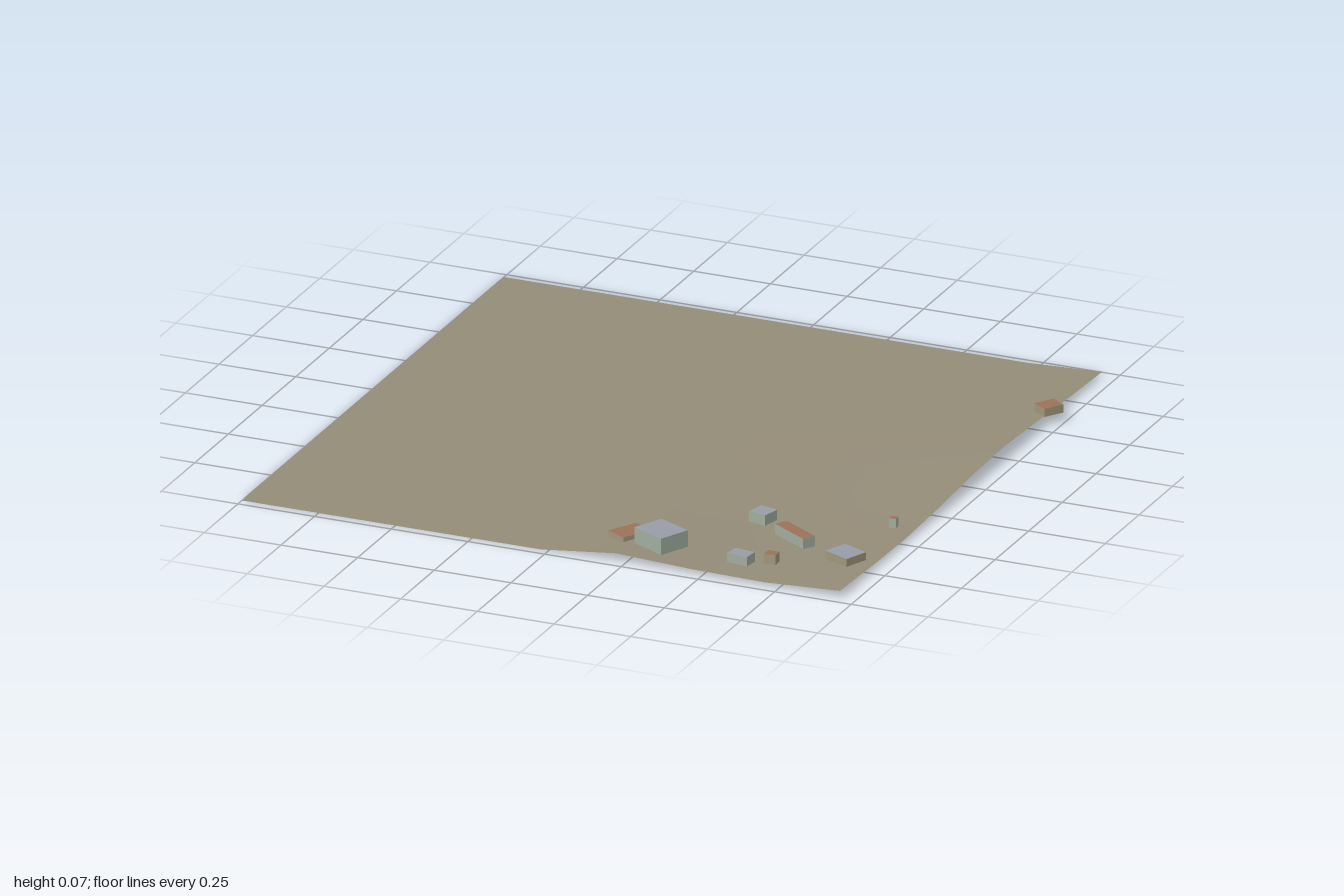
import * as THREE from 'three';

const flat = (name, color, side = THREE.FrontSide) => {
  const m = new THREE.MeshStandardMaterial({ color, side });
  m.name = name;
  return m;
};

export function createModel() {
  const group = new THREE.Group();
  const earth = flat('earth', 0x948c78, THREE.DoubleSide);
  const slate = flat('slateRoof', 0x989ca8);
  const clay = flat('clayRoof', 0x9c7058);
  const sage = flat('sageWall', 0xa0ad9c);
  const tan = flat('tanWall', 0xa0967a);

  // Ground sheet: 8 x 8 cells, flat on the left, gently rising on the right.
  // Each row holds the heights of the last three columns' corners, back to front.
  const heights = [
    [0, 0, 0, 0.01],
    [0, 0, 0.004, 0.018],
    [0, 0.002, 0.012, 0.029],
    [0, 0.004, 0.018, 0.038],
    [0, 0.004, 0.016, 0.033],
    [0, 0.003, 0.01, 0.02],
    [0.005, 0.006, 0.008, 0.012],
    [0.016, 0.012, 0.01, 0.016],
    [0.027, 0.016, 0.012, 0.024],
  ];
  const sheet = new THREE.PlaneGeometry(1.95, 1.95, 8, 8).rotateX(-Math.PI / 2).translate(-0.025, 0, -0.005);
  const p = sheet.attributes.position;
  for (let i = 0; i < p.count; i++) {
    const col = i % 9, row = Math.floor(i / 9);
    p.setY(i, col < 5 ? 0 : heights[row][col - 5]);
  }
  sheet.computeVertexNormals();
  const ground = new THREE.Mesh(sheet, earth);
  ground.name = 'ground';
  group.add(ground);

  // Buildings: x, z, width, depth, turn in degrees, bottom, top, wall, roof
  const buildings = [
    ['mainHall', 0.31, 0.84, 0.122, 0.106, 26, 0.02, 0.073, sage, slate],
    ['lowAnnex', 0.19, 0.8, 0.074, 0.102, 30, 0.012, 0.034, tan, clay],
    ['squareHouse', 0.5, 0.515, 0.06, 0.06, 14, 0.01, 0.043, sage, slate],
    ['longHouse', 0.65, 0.62, 0.148, 0.042, 32, 0.01, 0.043, sage, clay],
    ['wideHouse', 0.855, 0.71, 0.092, 0.08, 23, 0.013, 0.04, tan, slate],
    ['smallHouse', 0.575, 0.85, 0.068, 0.048, 7, 0.012, 0.043, sage, slate],
    ['hut', 0.66, 0.815, 0.037, 0.033, 0, 0.012, 0.043, tan, clay],
    ['shed', 0.88, 0.41, 0.022, 0.02, 0, 0.012, 0.043, sage, clay],
    ['hillHouse', 0.95, -0.585, 0.055, 0.068, 34, 0.027, 0.053, tan, clay],
  ];
  for (const [name, x, z, w, d, turn, y0, y1, wall, roof] of buildings) {
    // The third face of a box is its top
    const mesh = new THREE.Mesh(new THREE.BoxGeometry(w, y1 - y0, d), [wall, wall, roof, wall, wall, wall]);
    mesh.name = name;
    mesh.position.set(x, (y0 + y1) / 2, z);
    mesh.rotation.y = THREE.MathUtils.degToRad(-turn);
    group.add(mesh);
  }
  return group;
}
